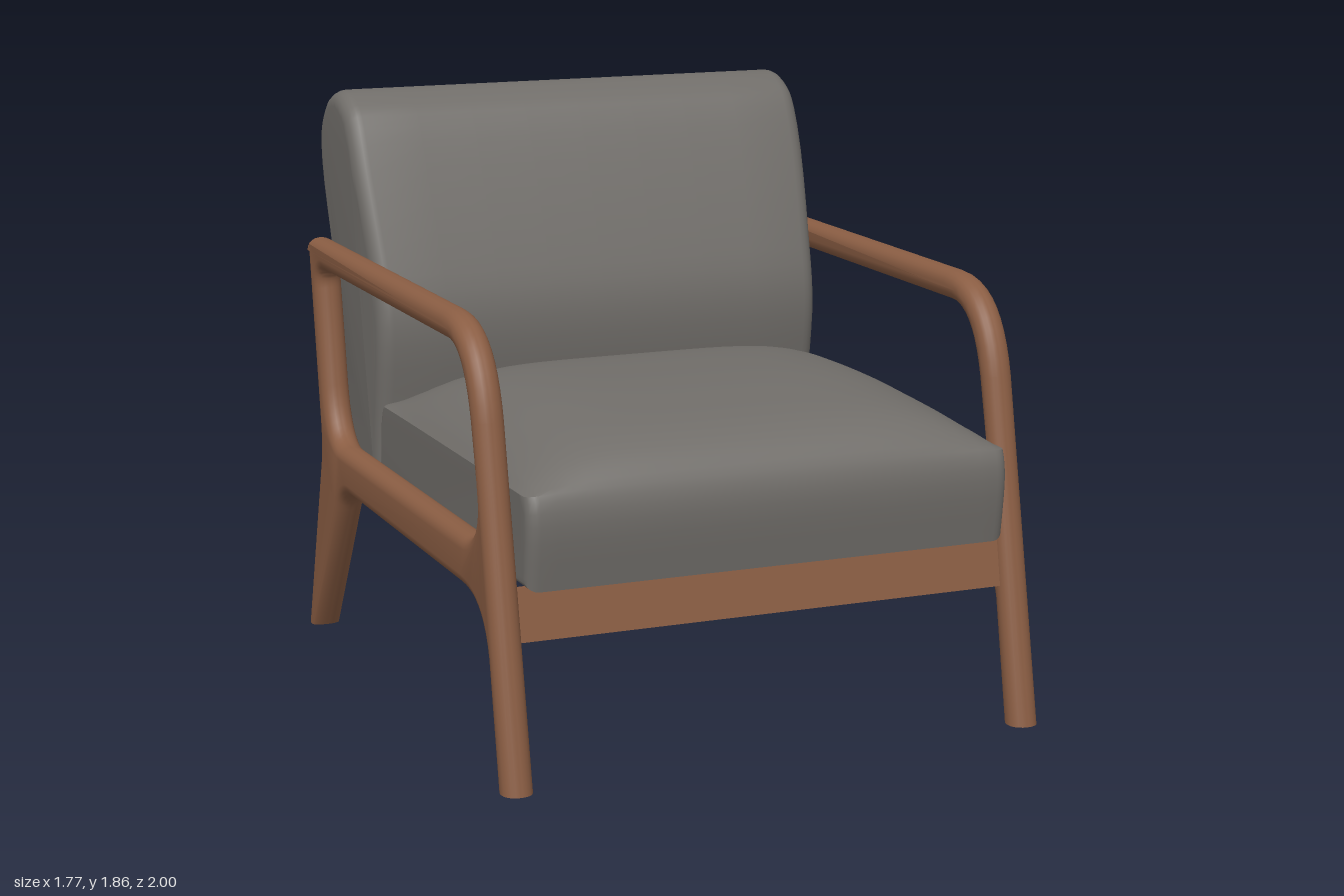
import * as THREE from 'three';
import { toCreasedNormals } from 'three/addons/utils/BufferGeometryUtils.js';

const wood = new THREE.MeshStandardMaterial({ color: 0x8a5d43 });
wood.name = 'walnut wood';
const fabric = new THREE.MeshStandardMaterial({ color: 0x706d69 });
fabric.name = 'grey upholstery';

// Extrude a (z, y) side profile across x, centred, with rounded edges inside the outline
function sideExtrude(shape, width, size, thickness, steps, curveSegments, rule) {
  const depth = width - 2 * thickness;
  const geo = new THREE.ExtrudeGeometry(shape, {
    depth, steps, curveSegments, bevelEnabled: true, bevelSegments: 5,
    bevelSize: size, bevelOffset: -size, bevelThickness: thickness,
  });
  geo.translate(0, 0, -depth / 2);
  geo.rotateY(-Math.PI / 2);
  const p = geo.attributes.position;
  const v = new THREE.Vector3();
  for (let i = 0; i < p.count; i++) {
    v.fromBufferAttribute(p, i);
    rule(v);
    p.setXYZ(i, v.x, v.y, v.z);
  }
  return toCreasedNormals(geo, 0.65);
}

// Smooth cushion outline closed by a straight bottom edge
function cushionShape(points) {
  const pts = points.map(([z, y]) => new THREE.Vector2(z, y));
  const s = new THREE.Shape();
  s.moveTo(pts[0].x, pts[0].y);
  s.splineThru(pts.slice(1));
  s.closePath();
  return s;
}

// Legs, arm and seat rail form one continuous loop
function frameGeometry() {
  const s = new THREE.Shape();
  s.moveTo(1.008, -0.04);
  s.lineTo(0.79, 1.07);
  s.bezierCurveTo(0.75, 1.24, 0.66, 1.355, 0.48, 1.355);
  s.lineTo(-0.89, 1.355);
  s.quadraticCurveTo(-0.91, 1.355, -0.905, 1.33);
  s.lineTo(-0.81, 0.74);
  s.quadraticCurveTo(-0.8, 0.67, -0.815, 0.61);
  s.lineTo(-0.995, -0.04);
  s.lineTo(-0.915, -0.04);
  s.lineTo(-0.61, 0.48);
  s.quadraticCurveTo(-0.57, 0.55, -0.5, 0.55);
  s.lineTo(0.62, 0.54);
  s.bezierCurveTo(0.74, 0.535, 0.81, 0.49, 0.84, 0.38);
  s.lineTo(0.918, -0.04);
  s.closePath();

  const h = new THREE.Path();
  h.moveTo(0.5, 1.263);
  h.lineTo(-0.74, 1.263);
  h.quadraticCurveTo(-0.8, 1.263, -0.79, 1.2);
  h.lineTo(-0.735, 0.88);
  h.bezierCurveTo(-0.71, 0.76, -0.66, 0.7, -0.58, 0.7);
  h.lineTo(0.63, 0.7);
  h.bezierCurveTo(0.71, 0.7, 0.77, 0.76, 0.755, 0.85);
  h.lineTo(0.705, 1.06);
  h.bezierCurveTo(0.67, 1.19, 0.61, 1.263, 0.5, 1.263);
  s.holes.push(h);

  // feet are cut flat at the floor
  return sideExtrude(s, 0.095, 0.04, 0.044, 1, 10, (v) => { v.y = Math.max(v.y, 0); });
}

function seatGeometry() {
  const shape = cushionShape([
    [0.92, 0.585], [0.942, 0.8], [0.89, 0.925], [0.76, 1.0], [0.46, 1.04], [0.19, 1.05],
    [-0.08, 1.04], [-0.26, 1.0], [-0.4, 0.91], [-0.455, 0.8], [-0.46, 0.585],
  ]);
  // crown the top towards the middle of the seat
  return sideExtrude(shape, 1.57, 0.035, 0.04, 28, 4, (v) => {
    const f = 1 - Math.pow(Math.min(1, Math.abs(v.x) / 0.787), 5);
    if (v.y > 0.87) v.y = 0.87 + (v.y - 0.87) * f;
  });
}

function backGeometry() {
  const shape = cushionShape([
    [-0.47, 0.6], [-0.455, 0.8], [-0.42, 1.11], [-0.48, 1.36], [-0.625, 1.73], [-0.715, 1.83],
    [-0.825, 1.855], [-0.935, 1.8], [-0.997, 1.65], [-0.945, 1.27], [-0.785, 0.6],
  ]);
  // slightly wider near the top
  return sideExtrude(shape, 1.57, 0.05, 0.05, 8, 4, (v) => {
    v.x *= 1 + 0.03 * THREE.MathUtils.smoothstep(v.y, 1.15, 1.7);
  });
}

export function createModel() {
  const chair = new THREE.Group();
  chair.name = 'armchair';
  const add = (name, geo, mat) => {
    const m = new THREE.Mesh(geo, mat);
    m.name = name;
    chair.add(m);
    return m;
  };

  // Side frames
  const frame = frameGeometry();
  for (const side of [1, -1]) {
    add(side > 0 ? 'leftSideFrame' : 'rightSideFrame', frame, wood).position.x = side * 0.837;
  }

  // Front rail leaning with the front legs
  const rail = add('frontRail', new THREE.BoxGeometry(1.62, 0.16, 0.05), wood);
  rail.position.set(0, 0.503, 0.85);
  rail.rotation.x = -0.19;

  // Cushions
  add('seatCushion', seatGeometry(), fabric);
  add('backCushion', backGeometry(), fabric);
  return chair;
}
